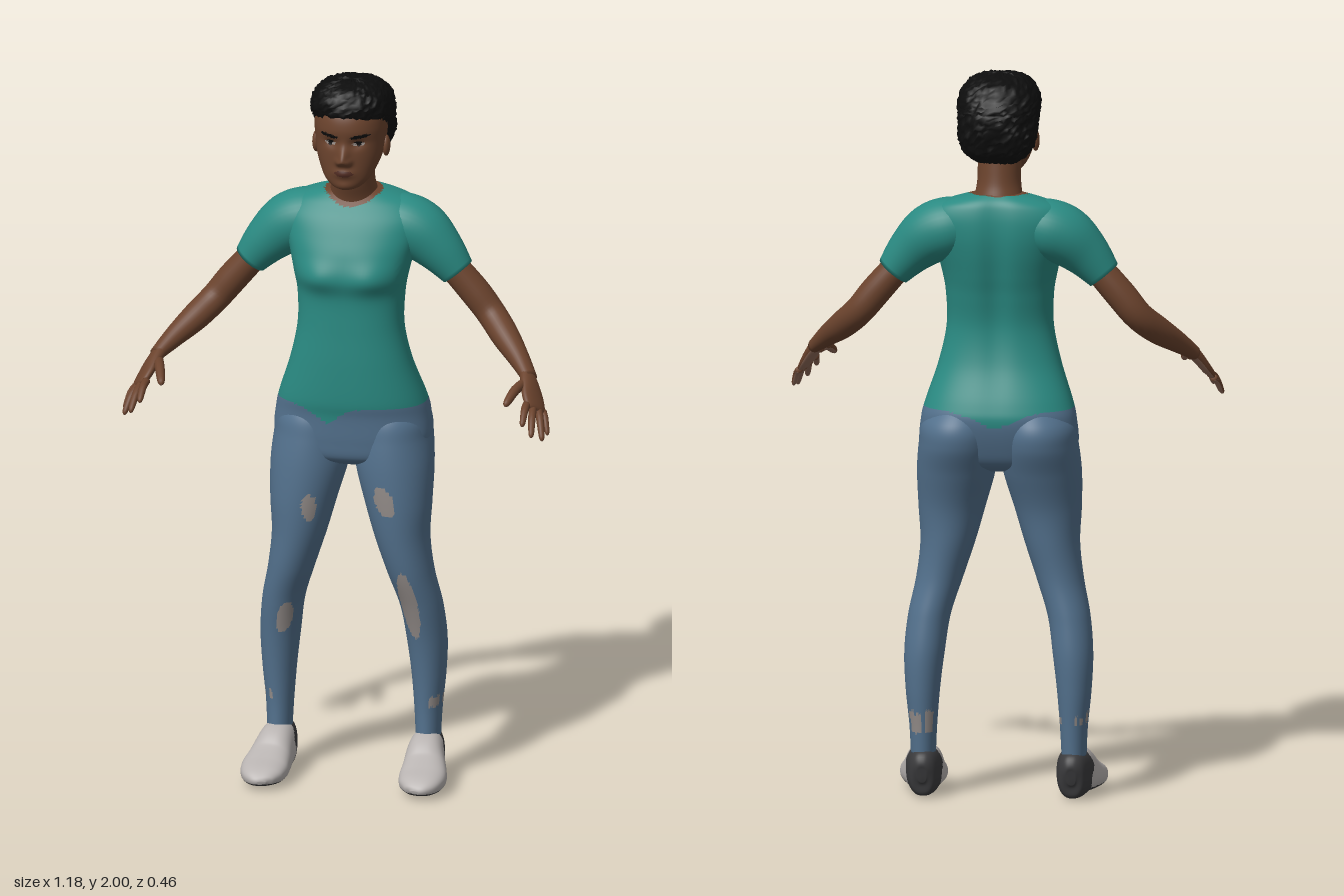
import * as THREE from 'three';

const mat = (name, color) => {
  const m = new THREE.MeshStandardMaterial({ color });
  m.name = name;
  return m;
};
const skin = mat('skin', 0x6b432d), palmSkin = mat('palm skin', 0x8f6a58), hairBlack = mat('hair black', 0x0d0d0d),
  lip = mat('lip', 0x512c22), eyeWhite = mat('eye white', 0x9a908a), teal = mat('shirt teal', 0x2a8a82),
  denim = mat('denim', 0x53718d), worn = mat('worn denim', 0x938c89), shoeGrey = mat('shoe grey', 0xb8b3b1),
  shoeDark = mat('shoe dark', 0x3b3b3d);

const hash = (a, b) => { const s = Math.sin(a * 127.1 + b * 311.7) * 43758.5453; return s - Math.floor(s); };
const gauss = (d, w) => Math.exp(-(d * d) / (w * w));
const pw = (v, e) => Math.sign(v) * Math.abs(v) ** e;
const inOval = (x, y, cx, cy, rx, ry) => ((x - cx) / rx) ** 2 + ((y - cy) / ry) ** 2 < 1;

// Catmull-Rom interpolation between rows of numbers
function smoothRows(rows, sub) {
  const out = [], at = i => rows[Math.max(0, Math.min(rows.length - 1, i))];
  for (let i = 0; i < rows.length - 1; i++) for (let k = 0; k < sub; k++) {
    const t = k / sub;
    out.push(rows[i].map((_, c) => {
      const [a, b, d, e] = [at(i - 1)[c], at(i)[c], at(i + 1)[c], at(i + 2)[c]];
      return b + 0.5 * t * (d - a + t * (2 * a - 5 * b + 4 * d - e + t * (3 * (b - d) + e - a)));
    }));
  }
  out.push(rows[rows.length - 1]);
  return out;
}

// Closed skin over a list of rings, capped at both ends
function loft(rings) {
  const n = rings[0].length, m = rings.length, pos = [], idx = [];
  rings.forEach(r => r.forEach(p => pos.push(p.x, p.y, p.z)));
  for (const r of [rings[0], rings[m - 1]]) {
    const c = r.reduce((s, p) => s.add(p), new THREE.Vector3()).divideScalar(n);
    pos.push(c.x, c.y, c.z);
  }
  for (let j = 0; j < n; j++) {
    const k = (j + 1) % n;
    for (let i = 0; i < m - 1; i++) {
      const a = i * n + j, b = i * n + k;
      idx.push(a, a + n, b, b, a + n, b + n);
    }
    idx.push(m * n, j, k, m * n + 1, (m - 1) * n + k, (m - 1) * n + j);
  }
  const g = new THREE.BufferGeometry();
  g.setAttribute('position', new THREE.Float32BufferAttribute(pos, 3));
  g.setIndex(idx);
  g.computeVertexNormals();
  return g;
}

// Level cross-sections: rows of [y, centre x, half width, front z, back z]
function stack(rows, { sub = 6, seg = 48, e = 1, deform = p => p } = {}) {
  return loft(smoothRows(rows, sub).map(([y, cx, w, zf, zb]) => Array.from({ length: seg }, (_, j) => {
    const a = j / seg * Math.PI * 2;
    return deform(new THREE.Vector3(cx + w * pw(Math.cos(a), e), y, (zf + zb) / 2 + (zf - zb) / 2 * pw(Math.sin(a), e)));
  })));
}

// Sections across a path: rows of [x, y, z, radius along side, other radius]
function limb(rows, side, { sub = 5, seg = 20, e = 1 } = {}) {
  const rs = smoothRows(rows, sub), P = rs.map(r => new THREE.Vector3(r[0], r[1], r[2]));
  return loft(rs.map((r, i) => {
    const T = P[Math.min(i + 1, P.length - 1)].clone().sub(P[Math.max(i - 1, 0)]).normalize();
    const U = side.clone().addScaledVector(T, -side.dot(T)).normalize(), V = U.clone().cross(T);
    return Array.from({ length: seg }, (_, j) => {
      const a = j / seg * Math.PI * 2;
      return P[i].clone().addScaledVector(U, r[3] * pw(Math.cos(a), e)).addScaledVector(V, r[4] * pw(Math.sin(a), e));
    });
  }));
}

// Sort faces into material groups by face centre and normal
function paint(g, mats, pick) {
  const p = g.attributes.position, ix = g.index.array, bins = mats.map(() => []);
  const [a, b, c] = [0, 1, 2].map(() => new THREE.Vector3()), tri = new THREE.Triangle(a, b, c);
  const mid = new THREE.Vector3(), nor = new THREE.Vector3();
  for (let i = 0; i < ix.length; i += 3) {
    [a, b, c].forEach((v, k) => v.fromBufferAttribute(p, ix[i + k]));
    tri.getMidpoint(mid); tri.getNormal(nor);
    bins[pick(mid, nor)].push(ix[i], ix[i + 1], ix[i + 2]);
  }
  g.setIndex(bins.flat());
  let start = 0;
  bins.forEach((l, k) => { g.addGroup(start, l.length, k); start += l.length; });
  return g;
}

export function createModel() {
  const model = new THREE.Group();
  model.name = 'standingWoman';
  const add = (name, geo, m) => {
    const o = new THREE.Mesh(geo, m);
    o.name = name;
    model.add(o);
    return o;
  };

  // Torso: hips in denim, shirt above an uneven hem, skin inside the collar
  const torso = stack([
    [0.905, 0, 0.09, -0.02, -0.13], [0.93, 0, 0.19, 0.02, -0.18], [0.98, 0, 0.216, 0.03, -0.205], [1.05, 0, 0.212, 0.035, -0.222],
    [1.1, 0, 0.2, 0.043, -0.212], [1.2, 0, 0.167, 0.045, -0.172], [1.3, 0, 0.146, 0.043, -0.158], [1.39, 0, 0.147, 0.044, -0.172],
    [1.45, 0, 0.157, 0.058, -0.187], [1.51, 0, 0.172, 0.043, -0.2], [1.56, 0, 0.188, 0.02, -0.206], [1.605, 0, 0.196, -0.005, -0.205],
    [1.64, 0, 0.172, -0.032, -0.198], [1.66, 0, 0.127, -0.05, -0.188], [1.675, 0, 0.07, -0.065, -0.172]],
  { sub: 7, seg: 96, e: 0.86, deform: p => {
    if (p.z > 0) p.z += 0.012 * gauss(Math.abs(p.x) - 0.075, 0.05) * gauss(p.y - 1.455, 0.04);
    if (p.z < -0.1) p.z += 0.014 * gauss(p.x, 0.035) * gauss(p.y - 1.45, 0.25);
    return p;
  } });
  add('torso', paint(torso, [teal, denim, skin], (c) => {
    if (c.y > 1.6 && inOval(c.x, c.z, 0, -0.1, 0.08, 0.07)) return 2;
    const dip = c.z > -0.05 ? 0.045 * gauss(c.x + 0.05, 0.05) : 0.04 * gauss(c.x, 0.07);
    return c.y > 1.082 - dip ? 0 : 1;
  }), [teal, denim, skin]);

  add('neck', stack([[1.58, 0, 0.085, -0.05, -0.17], [1.65, 0, 0.069, -0.04, -0.172], [1.7, 0, 0.06, -0.022, -0.156],
    [1.75, 0, 0.059, -0.008, -0.147], [1.8, 0, 0.058, 0, -0.14]]), skin);

  // Head with nose, sockets, lips and painted features
  const head = stack([
    [1.706, 0, 0.016, 0.03, -0.005], [1.714, 0, 0.04, 0.038, -0.03], [1.735, 0, 0.062, 0.043, -0.06], [1.765, 0, 0.079, 0.046, -0.11],
    [1.8, 0, 0.091, 0.047, -0.145], [1.84, 0, 0.097, 0.047, -0.165], [1.88, 0, 0.099, 0.052, -0.175], [1.92, 0, 0.094, 0.042, -0.17],
    [1.955, 0, 0.074, 0.012, -0.145], [1.975, 0, 0.035, -0.03, -0.1]],
  { sub: 10, seg: 128, e: 0.95, deform: p => {
    if (p.z > -0.02) {
      p.z += 0.026 * gauss(p.x, 0.014) * gauss(p.y - 1.797, p.y > 1.797 ? 0.032 : 0.014)
        + 0.01 * gauss(Math.abs(p.x) - 0.014, 0.009) * gauss(p.y - 1.79, 0.01)
        - 0.009 * gauss(Math.abs(p.x) - 0.037, 0.02) * gauss(p.y - 1.842, 0.014)
        + 0.008 * gauss(p.x, 0.026) * gauss(p.y - 1.756, 0.013)
        + 0.005 * gauss(p.x, 0.025) * gauss(p.y - 1.72, 0.014);
    }
    return p;
  } });
  const faceMats = [skin, hairBlack, lip, eyeWhite];
  add('head', paint(head, faceMats, (c) => {
    const x = Math.abs(c.x);
    if (c.z < 0) return 0;
    if (inOval(x, c.y - 0.12 * (x - 0.04), 0.043, 1.863, 0.026, 0.0055)) return 1;
    if (inOval(x, c.y, 0.039, 1.841, 0.016, 0.0065)) return c.y > 1.8435 || Math.abs(x - 0.039) < 0.006 ? 1 : 3;
    return inOval(c.x, c.y, 0, 1.757, 0.026, 0.009) ? 2 : 0;
  }), faceMats);

  // Short rough hair
  add('hair', stack([
    [1.765, 0, 0.05, -0.12, -0.165], [1.785, 0, 0.082, -0.105, -0.195], [1.82, 0, 0.103, -0.075, -0.21], [1.86, 0, 0.108, -0.035, -0.218],
    [1.895, 0, 0.111, 0.015, -0.217], [1.915, 0, 0.112, 0.044, -0.213], [1.945, 0, 0.108, 0.047, -0.197], [1.975, 0, 0.087, 0.03, -0.165],
    [1.99, 0, 0.058, 0, -0.125], [1.996, 0, 0.02, -0.04, -0.08]],
  { sub: 5, seg: 72, e: 0.85, deform: p => {
    const k = 1 + 0.07 * (hash(p.x * 90, p.z * 70 + p.y * 50) - 0.5);
    p.x *= k; p.z = (p.z + 0.085) * k - 0.085; p.y += 0.008 * (hash(p.z * 60, p.x * 80) - 0.5);
    return p;
  } }), hairBlack);

  const legMats = [denim, worn], shoeMats = [shoeGrey, shoeDark], handMats = [skin, palmSkin];
  const isPalm = (c, n) => (n.y < -0.35 ? 1 : 0);
  for (const s of [1, -1]) {
    const label = s > 0 ? 'left' : 'right';
    const flip = rows => rows.map(([x, ...rest]) => [x * s, ...rest]);

    const ear = add(label + 'Ear', new THREE.SphereGeometry(1, 16, 12), skin);
    ear.scale.set(0.011, 0.03, 0.018);
    ear.position.set(0.097 * s, 1.812, -0.06);

    // Sleeve and bare arm
    add(label + 'Sleeve', limb(flip([[0.07, 1.585, -0.115, 0.07, 0.07], [0.13, 1.577, -0.112, 0.086, 0.083], [0.185, 1.555, -0.108, 0.082, 0.082],
      [0.24, 1.507, -0.102, 0.064, 0.066], [0.288, 1.45, -0.1, 0.047, 0.048]]), new THREE.Vector3(0, 0, 1), { seg: 36 }), teal);
    const across = new THREE.Vector3(0.57 * s, -0.48, -0.67);
    add(label + 'Arm', limb(flip([[0.27, 1.47, -0.1, 0.04, 0.04], [0.335, 1.395, -0.102, 0.042, 0.042], [0.382, 1.337, -0.095, 0.04, 0.04],
      [0.43, 1.29, -0.05, 0.039, 0.038], [0.478, 1.248, 0.005, 0.03, 0.029], [0.518, 1.21, 0.056, 0.025, 0.019]]), across, { seg: 28 }), skin);

    // Hand: palm, four fingers and thumb
    add(label + 'Palm', paint(limb(flip([[0.508, 1.22, 0.045, 0.022, 0.017], [0.523, 1.197, 0.075, 0.031, 0.017], [0.537, 1.17, 0.105, 0.039, 0.015],
      [0.549, 1.148, 0.13, 0.036, 0.012], [0.552, 1.142, 0.137, 0.028, 0.006]]), across, { e: 0.9 }), handMats, isPalm), handMats);
    [[0.528, 1.162, 0.146, 0.531, 1.124, 0.222], [0.543, 1.15, 0.136, 0.556, 1.094, 0.222],
      [0.556, 1.14, 0.122, 0.58, 1.076, 0.19], [0.566, 1.132, 0.105, 0.587, 1.08, 0.15],
      [0.508, 1.2, 0.078, 0.477, 1.168, 0.188]].forEach(([x, y, z, X, Y, Z], i) => {
      const k = i === 4 ? 1.3 : i === 3 ? 0.85 : 1;
      const rows = [[0, 0.0115], [0.45, 0.0105], [0.85, 0.0085], [0.96, 0.006], [1, 0.002]].map(([t, r]) =>
        [x + (X - x) * t, y + (Y - y) * t + 0.012 * Math.sin(Math.PI * t), z + (Z - z) * t, r * k, r * k]);
      add(label + (i === 4 ? 'Thumb' : 'Finger' + (i + 1)),
        paint(limb(flip(rows), across, { sub: 3, seg: 12 }), handMats, isPalm), handMats);
    });

    // Leg with worn patches and a frayed ankle band
    const leg = stack([
      [0.12, 0.206, 0.034, -0.05, -0.148], [0.2, 0.206, 0.038, -0.05, -0.155], [0.3, 0.207, 0.047, -0.042, -0.165], [0.4, 0.203, 0.055, -0.028, -0.168],
      [0.5, 0.191, 0.058, -0.006, -0.157], [0.6, 0.165, 0.064, 0.02, -0.145], [0.7, 0.143, 0.075, 0.034, -0.15], [0.8, 0.131, 0.092, 0.041, -0.163],
      [0.9, 0.118, 0.107, 0.04, -0.198], [0.98, 0.111, 0.107, 0.032, -0.23], [1.04, 0.108, 0.1, 0.02, -0.228], [1.1, 0.1, 0.06, -0.02, -0.18]]
      .map(([y, x, ...r]) => [y, x * s, ...r]), { sub: 10, seg: 72 });
    const patches = s > 0 ? [[0.11, 0.82, 0.028, 0.043, -0.25], [0.17, 0.515, 0.026, 0.1, -0.16]]
      : [[-0.1, 0.79, 0.02, 0.038, 0], [-0.178, 0.455, 0.021, 0.046, 0.2]];
    add(label + 'Leg', paint(leg, legMats, (c, n) => {
      if (n.z > 0 && patches.some(([x, y, rx, ry, lean]) => inOval(c.x - lean * (c.y - y), c.y, x, y, rx, ry))) return 1;
      const a = Math.atan2(n.z, n.x * s), h = hash(Math.round(a * 4), s);
      const low = 0.205 - (s > 0 && n.z < -0.5 ? 0.03 : 0);
      return (n.z < -0.2 || n.x * s > 0.3) && h > 0.3 && c.y > low + 0.01 * h && c.y < 0.222 + 0.026 * h ? 1 : 0;
    }), legMats);

    // Shoe with dark heel and sole
    const shoe = limb(flip([[0.204, 0.065, -0.163, 0.012, 0.02], [0.204, 0.067, -0.15, 0.034, 0.058], [0.205, 0.069, -0.1, 0.047, 0.069],
      [0.208, 0.068, -0.052, 0.052, 0.067], [0.214, 0.051, -0.005, 0.06, 0.05], [0.219, 0.04, 0.045, 0.065, 0.038],
      [0.218, 0.034, 0.09, 0.056, 0.028], [0.215, 0.028, 0.118, 0.034, 0.016], [0.213, 0.025, 0.128, 0.012, 0.005]]),
    new THREE.Vector3(1, 0, 0), { sub: 8, seg: 48, e: 0.82 });
    add(label + 'Shoe', paint(shoe, shoeMats, (c) =>
      (c.z < -0.075 + 0.012 * Math.sin(c.y * 90) || c.y < 0.02 ? 1 : 0)), shoeMats);
  }
  return model;
}
